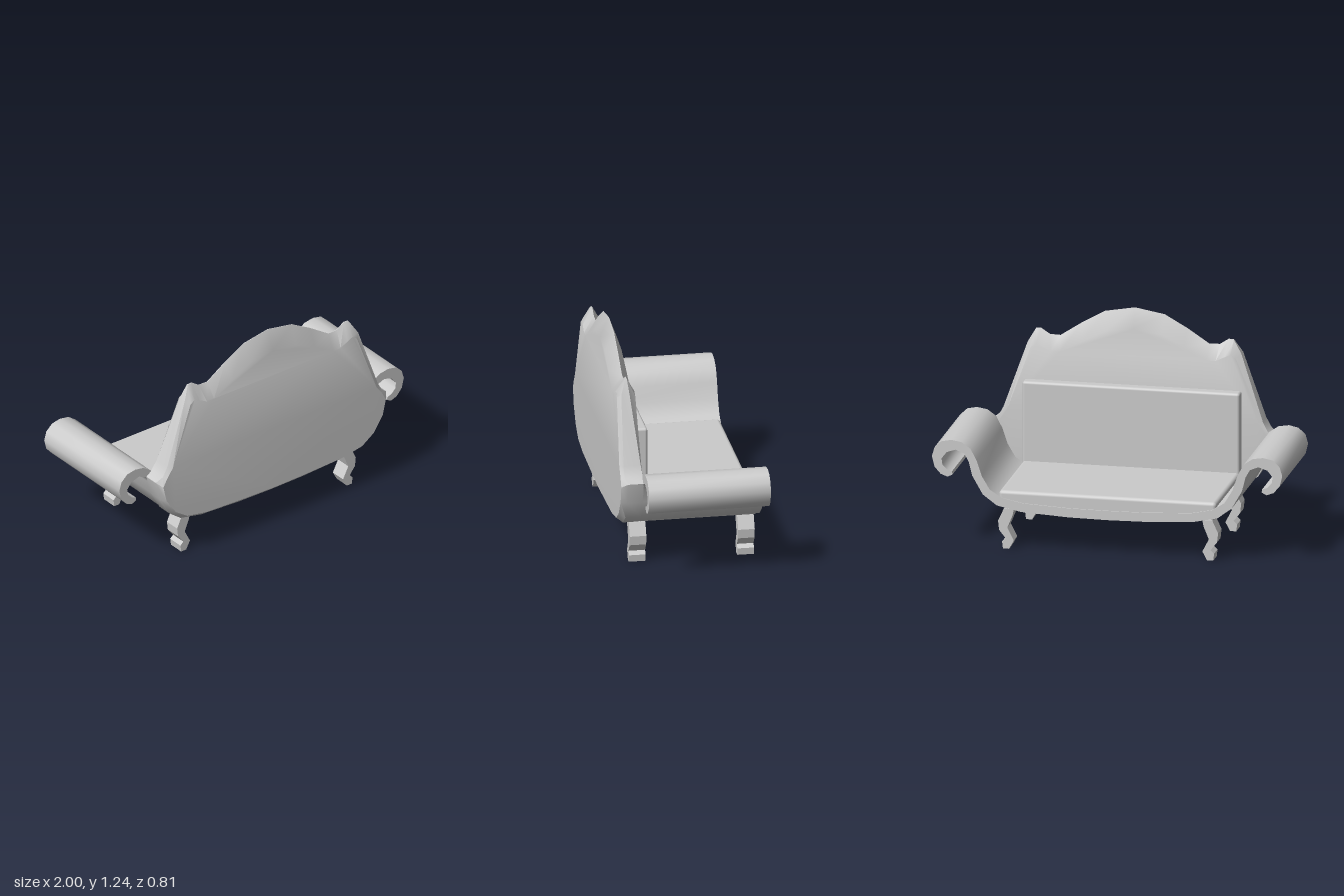
import * as THREE from 'three';
import { toCreasedNormals } from 'three/addons/utils/BufferGeometryUtils.js';
import { RoundedBoxGeometry } from 'three/addons/geometries/RoundedBoxGeometry.js';

const material = new THREE.MeshStandardMaterial({ color: 0xcccccc });

function addMesh(group, name, geometry) {
  const mesh = new THREE.Mesh(geometry, material);
  mesh.name = name;
  group.add(mesh);
  return mesh;
}

// Extrude a closed outline of [x, y] points from z0 to z1
function extrude(points, z0, z1) {
  const shape = new THREE.Shape(points.map(([x, y]) => new THREE.Vector2(x, y)));
  const geometry = new THREE.ExtrudeGeometry(shape, { depth: z1 - z0, bevelEnabled: false });
  return geometry.translate(0, 0, z0);
}

// Loft through rings of equal length (counter-clockwise, rising z) with flat caps
function loft(rings) {
  const n = rings[0].length;
  const index = [];
  for (let r = 0; r < rings.length - 1; r++) {
    for (let i = 0; i < n; i++) {
      const j = (i + 1) % n;
      const a = r * n + i, b = r * n + j, c = b + n, d = a + n;
      index.push(a, b, c, a, c, d);
    }
  }
  const last = (rings.length - 1) * n;
  const cap = (ring) => THREE.ShapeUtils.triangulateShape(ring.map(([x, y]) => new THREE.Vector2(x, y)), []);
  for (const [a, b, c] of cap(rings[0])) index.push(c, b, a);
  for (const [a, b, c] of cap(rings[rings.length - 1])) index.push(last + a, last + b, last + c);
  const geometry = new THREE.BufferGeometry();
  geometry.setAttribute('position', new THREE.Float32BufferAttribute(rings.flat(2), 3));
  geometry.setIndex(index);
  return geometry;
}

// Half outline of the backrest, top to bottom:
// [edge x, edge y, edge front z, edge back z, face x, face y]
const BACK_HALF = [
  [0, 1.235, 0.338, 0.342, 0, 1.12],
  [0.17, 1.205, 0.338, 0.342, 0.16, 1.1],
  [0.3, 1.132, 0.338, 0.342, 0.29, 1.035],
  [0.425, 1.05, 0.338, 0.342, 0.42, 0.965],
  [0.485, 1.052, 0.338, 0.342, 0.47, 0.965],
  [0.535, 1.085, 0.338, 0.342, 0.52, 0.99],
  [0.565, 1.082, 0.336, 0.345, 0.555, 1.005],
  [0.61, 1.005, 0.328, 0.375, 0.585, 0.985],
  [0.74, 0.63, 0.288, 0.385, 0.715, 0.625],
  [0.77, 0.575, 0.282, 0.385, 0.755, 0.57],
  [0.81, 0.545, 0.282, 0.37, 0.782, 0.52],
  [0.775, 0.42, 0.282, 0.37, 0.76, 0.425],
  [0.715, 0.312, 0.282, 0.37, 0.695, 0.33],
  [0.635, 0.252, 0.282, 0.37, 0.615, 0.275],
  [0.49, 0.222, 0.282, 0.37, 0.48, 0.25],
  [0.22, 0.208, 0.282, 0.37, 0.22, 0.24],
  [0, 0.205, 0.282, 0.37, 0, 0.235],
];

function backrestGeometry() {
  // Go down the -x side, then back up the +x side
  const outline = [
    ...BACK_HALF.map(([x, y, zf, zb, fx, fy]) => [-x, y, zf, zb, -fx, fy]),
    ...BACK_HALF.slice(1, -1).reverse(),
  ];
  const innerZ = (y) => 0.28 + Math.max(0, y - 0.6) * 0.03;
  const outerZ = (y) => 0.405 - Math.max(0, y - 0.8) * 0.05;
  return loft([
    outline.map(([, , , , x, y]) => [x, y, innerZ(y)]),
    outline.map(([x, y, z]) => [x, y, z]),
    outline.map(([x, y, , z]) => [x, y, z]),
    outline.map(([, , , , x, y]) => [x, y, outerZ(y)]),
  ]);
}

// Half section of the bent seat shell: underside, scroll, then upper side
const SHELL_HALF = [
  [0, 0.207], [0.22, 0.21], [0.49, 0.225], [0.63, 0.255], [0.71, 0.315],
  [0.77, 0.42], [0.79, 0.5], [0.815, 0.545], [0.863, 0.565], [0.915, 0.548],
  [0.945, 0.51], [0.94, 0.475], [0.912, 0.447], [0.885, 0.438], [0.882, 0.42], [0.91, 0.405],
  [0.95, 0.42], [0.985, 0.46], [1, 0.52], [0.985, 0.572], [0.945, 0.609],
  [0.89, 0.62], [0.83, 0.61], [0.78, 0.575], [0.745, 0.51], [0.715, 0.42],
  [0.67, 0.345], [0.6, 0.3], [0.48, 0.275], [0.22, 0.262], [0, 0.26],
];

// Section of the curved leg on the +x side
const LEG = [
  [0.565, 0], [0.6, 0], [0.605, 0.04], [0.585, 0.06], [0.622, 0.107],
  [0.628, 0.16], [0.595, 0.232], [0.538, 0.232], [0.545, 0.195], [0.575, 0.122], [0.538, 0.05],
];

export function createModel() {
  const group = new THREE.Group();
  group.name = 'sofa';

  // Seat shell with scrolled arms in one sweep
  const mirrored = SHELL_HALF.slice(1, -1).reverse().map(([x, y]) => [-x, y]);
  addMesh(group, 'seatShell', toCreasedNormals(extrude([...SHELL_HALF, ...mirrored], -0.405, 0.285), 0.75));

  // Backrest with a ridged, wavy top
  addMesh(group, 'backrest', toCreasedNormals(backrestGeometry(), 0.6));

  // Cushions
  addMesh(group, 'seatCushion', new RoundedBoxGeometry(1.24, 0.1, 0.685, 3, 0.02)).position.set(0, 0.29, -0.055);
  addMesh(group, 'backCushion', new RoundedBoxGeometry(1.24, 0.5, 0.09, 3, 0.015)).position.set(0, 0.55, 0.272);

  // Four curved legs
  for (const side of [1, -1]) {
    for (const z of [0.283, -0.331]) {
      const name = (side > 0 ? 'left' : 'right') + (z > 0 ? 'Front' : 'Back') + 'Leg';
      const points = LEG.map(([x, y]) => [side * x, y]);
      addMesh(group, name, extrude(points, z - 0.047, z + 0.047));
    }
  }
  return group;
}
